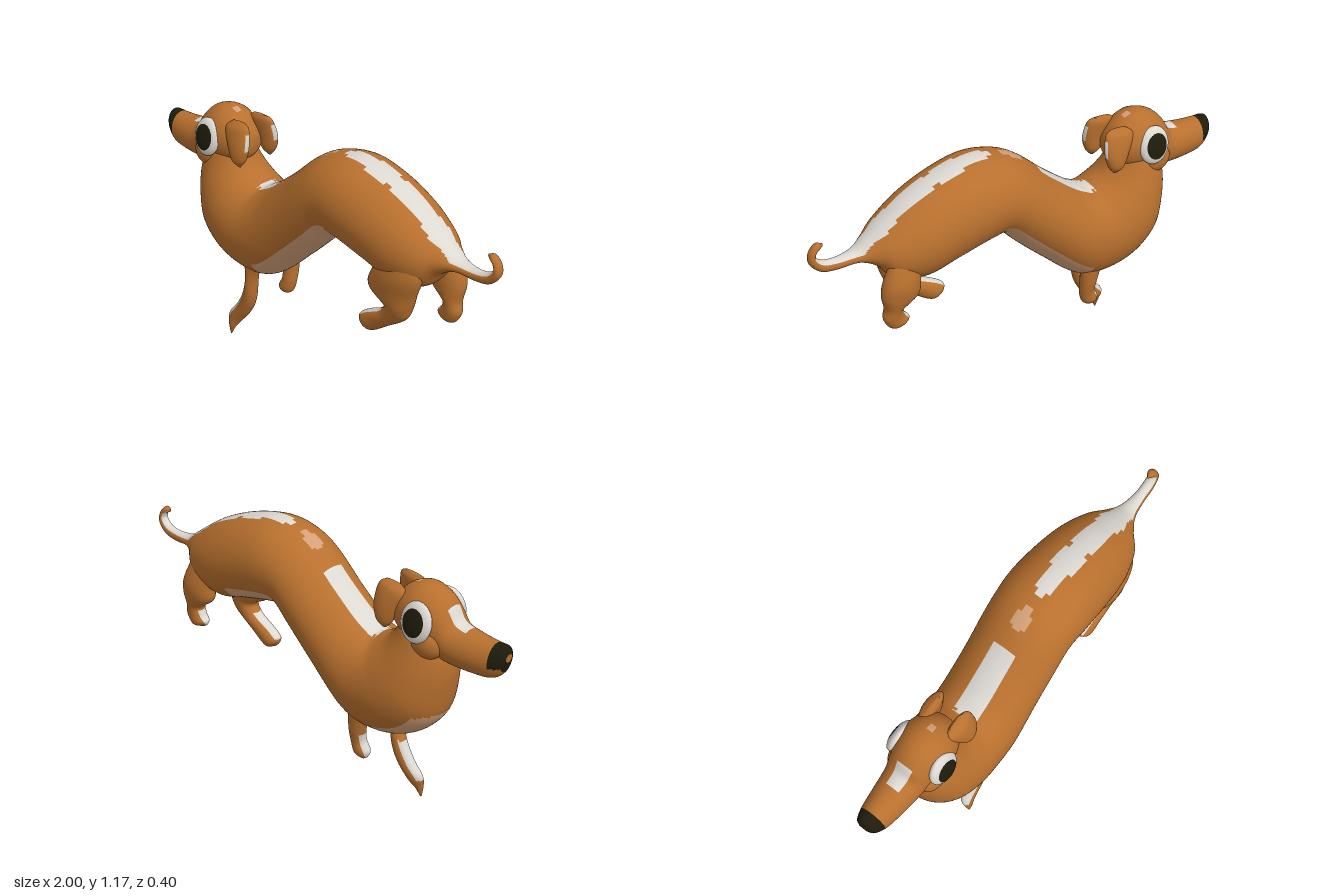
import * as THREE from 'three';

const mat = (name, color) => Object.assign(new THREE.MeshStandardMaterial({ color }), { name });

export function createModel() {
  const coat = mat('coat brown', 0xb8702e);
  const white = mat('marking white', 0xdcd8d2);
  const tan = mat('belly tan', 0xd2a078);
  const black = mat('nose black', 0x1e1c0c);
  const palette = [coat, white, tan, black];
  const COAT = 0, WHITE = 1, TAN = 2, BLACK = 3;
  const dog = new THREE.Group();
  dog.name = 'dog';

  // Smooth loft: each row is [topX, topY, bottomX, bottomY, halfWidth, z].
  // paint(x, y, z, top, bottom) picks a colour; top/bottom are angles from those edges.
  function loft(name, rows, paint = () => COAT, seg = 48, steps = 8) {
    const curve = f => new THREE.CatmullRomCurve3(rows.map(f), false, 'catmullrom', 0.5);
    const tops = curve(r => new THREE.Vector3(r[0], r[1], r[5] || 0));
    const bottoms = curve(r => new THREE.Vector3(r[2], r[3], r[5] || 0));
    const widths = curve(r => new THREE.Vector3(r[4], 0, 0));
    const n = (rows.length - 1) * steps;
    const pos = [], faces = palette.map(() => []);
    for (let i = 0; i <= n; i++) {
      const t = tops.getPoint(i / n), b = bottoms.getPoint(i / n);
      const w = Math.max(widths.getPoint(i / n).x, 0.002);
      const c = t.clone().add(b).multiplyScalar(0.5), a = t.clone().sub(c);
      for (let j = 0; j < seg; j++) {
        const th = (j / seg) * Math.PI * 2, k = Math.cos(th);
        pos.push(c.x + a.x * k, c.y + a.y * k, c.z + w * Math.sin(th));
      }
    }
    for (let i = 0; i < n; i++) for (let j = 0; j < seg; j++) {
      const a = i * seg + j, b = i * seg + (j + 1) % seg, c = a + seg, d = b + seg;
      const mid = k => (pos[a * 3 + k] + pos[b * 3 + k] + pos[c * 3 + k] + pos[d * 3 + k]) / 4;
      const th = ((j + 0.5) / seg) * Math.PI * 2;
      const top = Math.min(th, Math.PI * 2 - th);
      faces[paint(mid(0), mid(1), mid(2), top, Math.PI - top)].push(a, b, c, b, d, c);
    }
    // Close both ends
    for (let j = 1; j < seg - 1; j++) {
      const e = n * seg;
      faces[COAT].push(0, j + 1, j, e, e + j, e + j + 1);
    }
    const g = new THREE.BufferGeometry();
    g.setAttribute('position', new THREE.Float32BufferAttribute(pos, 3));
    g.setIndex(faces.flat());
    let start = 0;
    faces.forEach((f, m) => {
      if (f.length) g.addGroup(start, f.length, m);
      start += f.length;
    });
    g.computeVertexNormals();
    const mesh = new THREE.Mesh(g, palette);
    mesh.name = name;
    dog.add(mesh);
  }

  // Neck, long body and curled tail, with back stripe and belly patches
  loft('bodyAndTail', [
    [-0.50, 1.02, -0.70, 0.92, 0.09],
    [-0.47, 0.92, -0.73, 0.80, 0.13],
    [-0.43, 0.86, -0.72, 0.67, 0.165],
    [-0.38, 0.83, -0.68, 0.53, 0.19],
    [-0.34, 0.82, -0.57, 0.425, 0.2],
    [-0.30, 0.84, -0.42, 0.375, 0.2],
    [-0.24, 0.88, -0.26, 0.40, 0.2],
    [-0.12, 0.98, -0.08, 0.56, 0.195],
    [0.00, 1.09, 0.05, 0.69, 0.195],
    [0.10, 1.145, 0.14, 0.785, 0.195],
    [0.24, 1.17, 0.21, 0.785, 0.2],
    [0.40, 1.14, 0.38, 0.745, 0.195],
    [0.55, 1.08, 0.52, 0.71, 0.18],
    [0.67, 1.005, 0.65, 0.74, 0.14],
    [0.74, 0.955, 0.715, 0.82, 0.085],
    [0.80, 0.918, 0.79, 0.862, 0.045],
    [0.88, 0.91, 0.885, 0.86, 0.028],
    [0.94, 0.922, 0.955, 0.875, 0.026],
    [0.97, 0.95, 1.0, 0.925, 0.024],
    [0.965, 0.975, 0.997, 0.975, 0.022],
    [0.95, 0.985, 0.965, 1.012, 0.018],
    [0.935, 0.992, 0.935, 1.005, 0.003],
  ], (x, y, z, top, bottom) => {
    const s = Math.abs(z), wave = 0.007 * Math.sin(x * 40);
    if (top < 1) {
      if (x > -0.36 && x < -0.07 && s < 0.055 + wave) return WHITE;
      if (x > 0 && x < 0.1 && s < 0.025 + wave) return TAN;
      if (x > 0.15 && s < Math.min(0.052, 0.02 + (x - 0.15) * 0.2) + wave) return WHITE;
    }
    if (x < -0.42 && y < 0.56 && bottom < 0.75) return TAN;
    if (x > -0.29 && x < 0.43 && bottom < 0.95) return TAN;
    return COAT;
  }, 64, 10);

  // Head with long muzzle and dark nose
  loft('head', [
    [-1.0, 0.94, -0.998, 0.905, 0.02],
    [-0.985, 0.972, -0.98, 0.85, 0.045],
    [-0.93, 0.972, -0.93, 0.815, 0.066],
    [-0.84, 0.98, -0.84, 0.808, 0.08],
    [-0.76, 1.0, -0.75, 0.81, 0.09],
    [-0.72, 1.06, -0.68, 0.82, 0.1],
    [-0.66, 1.11, -0.62, 0.83, 0.115],
    [-0.58, 1.128, -0.56, 0.85, 0.12],
    [-0.50, 1.095, -0.50, 0.88, 0.1],
    [-0.45, 1.03, -0.455, 0.92, 0.06],
    [-0.44, 0.98, -0.44, 0.965, 0.004],
  ], (x, y, z, top) => {
    if (x < -0.935 && y > 0.88) return BLACK;
    if (x > -0.81 && x < -0.72 && top < 1 && Math.abs(z) < 0.033) return WHITE;
    if (x > -0.56 && x < -0.53 && top < 1 && Math.abs(z) < 0.015) return TAN;
    return x < -0.985 ? BLACK : COAT;
  });

  // Ears, cheeks and eyes, mirrored
  for (const s of [1, -1]) {
    const side = s > 0 ? 'left' : 'right';
    loft(side + 'Ear', [
      [-0.42, 1.108, -0.50, 1.1, 0.008, s * 0.06],
      [-0.39, 1.085, -0.535, 1.065, 0.028, s * 0.07],
      [-0.38, 1.01, -0.505, 1.0, 0.034, s * 0.085],
      [-0.395, 0.945, -0.475, 0.935, 0.03, s * 0.09],
      [-0.425, 0.903, -0.445, 0.903, 0.004, s * 0.09],
    ], (x, y, z, top) => (y > 0.99 && y < 1.07 && top < 0.4 ? WHITE : COAT), 32);

    const cheek = new THREE.Mesh(new THREE.SphereGeometry(1, 32, 20), coat);
    cheek.name = side + 'Cheek';
    cheek.scale.set(0.08, 0.07, 0.055);
    cheek.position.set(-0.65, 0.9, s * 0.075);
    dog.add(cheek);

    const eye = new THREE.Group();
    eye.name = side + 'Eye';
    const ball = new THREE.Mesh(new THREE.SphereGeometry(1, 40, 24), white);
    ball.name = 'eyeWhite';
    const cap = new THREE.SphereGeometry(1.02, 40, 8, 0, Math.PI * 2, 0, 0.74).rotateX(s * Math.PI / 2);
    const pupil = new THREE.Mesh(cap, black);
    pupil.name = 'pupil';
    eye.add(ball, pupil);
    eye.scale.set(0.075, 0.088, 0.032);
    eye.position.set(-0.62, 0.993, s * 0.112);
    eye.rotation.x = -s * 0.2;
    dog.add(eye);
  }

  // Legs: the top edge of each row is the back of the leg
  const sock = (lo, hi, angle) => (x, y, z, top, bottom) =>
    (y > lo && y < hi && bottom < angle ? WHITE : COAT);

  loft('leftFrontLeg', [
    [-0.29, 0.48, -0.40, 0.48, 0.04, 0.1],
    [-0.335, 0.37, -0.38, 0.385, 0.038, 0.098],
    [-0.353, 0.24, -0.417, 0.268, 0.036, 0.092],
    [-0.39, 0.158, -0.47, 0.176, 0.034, 0.09],
    [-0.444, 0.088, -0.513, 0.12, 0.03, 0.095],
    [-0.475, 0.045, -0.513, 0.067, 0.018, 0.108],
    [-0.495, 0.002, -0.502, 0.004, 0.003, 0.115],
  ], sock(0.1, 0.27, 0.9), 32);

  loft('rightFrontLeg', [
    [-0.26, 0.47, -0.37, 0.47, 0.04, -0.1],
    [-0.263, 0.37, -0.345, 0.37, 0.036, -0.095],
    [-0.268, 0.3, -0.34, 0.31, 0.034, -0.085],
    [-0.285, 0.245, -0.36, 0.265, 0.034, -0.082],
    [-0.325, 0.226, -0.352, 0.236, 0.015, -0.082],
    [-0.338, 0.228, -0.345, 0.232, 0.003, -0.082],
  ], sock(0.22, 0.35, 0.8), 32);

  loft('leftHindLeg', [
    [0.66, 0.91, 0.48, 0.89, 0.04, 0.1],
    [0.68, 0.81, 0.42, 0.77, 0.065, 0.105],
    [0.65, 0.71, 0.40, 0.69, 0.065, 0.102],
    [0.63, 0.645, 0.49, 0.632, 0.055, 0.1],
    [0.60, 0.583, 0.46, 0.58, 0.045, 0.098],
    [0.50, 0.507, 0.385, 0.538, 0.042, 0.096],
    [0.415, 0.447, 0.342, 0.505, 0.038, 0.095],
    [0.37, 0.452, 0.342, 0.475, 0.005, 0.095],
  ], sock(0.5, 0.59, 0.6), 32);

  loft('rightHindLeg', [
    [0.68, 0.88, 0.54, 0.85, 0.04, -0.1],
    [0.725, 0.78, 0.56, 0.76, 0.06, -0.105],
    [0.738, 0.71, 0.57, 0.69, 0.058, -0.102],
    [0.725, 0.64, 0.64, 0.635, 0.045, -0.095],
    [0.732, 0.585, 0.635, 0.595, 0.04, -0.092],
    [0.70, 0.533, 0.615, 0.57, 0.034, -0.092],
    [0.645, 0.532, 0.617, 0.548, 0.005, -0.092],
  ], sock(0.54, 0.62, 0.6), 32);

  return dog;
}
